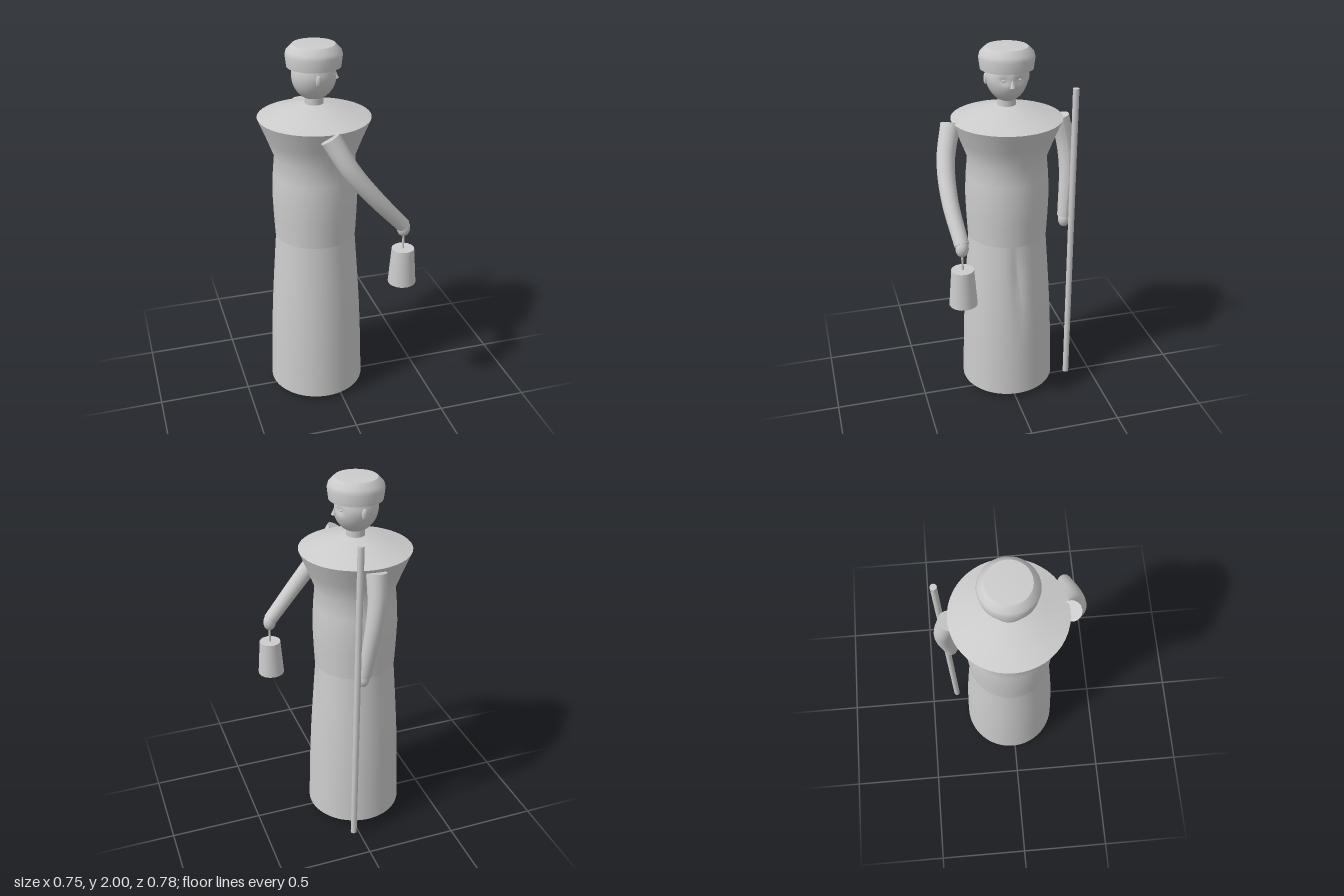
import * as THREE from 'three';
import { toCreasedNormals } from 'three/addons/utils/BufferGeometryUtils.js';

const grey = new THREE.MeshStandardMaterial({ color: 0xcccccc });
const CX = -0.083, CZ = -0.015; // body axis; the face looks along +x

const gauss = (d, w) => Math.exp(-(d * d) / (w * w));

function add(parent, name, geometry, x = 0, y = 0, z = 0) {
  const mesh = new THREE.Mesh(geometry, grey);
  mesh.name = name;
  mesh.position.set(x, y, z);
  parent.add(mesh);
  return mesh;
}

function reshape(geometry, rule) {
  const p = geometry.attributes.position, v = new THREE.Vector3();
  for (let i = 0; i < p.count; i++) {
    rule(v.fromBufferAttribute(p, i), i);
    p.setXYZ(i, v.x, v.y, v.z);
  }
  geometry.computeVertexNormals();
  return geometry;
}

const lathe = (points, segments = 48) =>
  new THREE.LatheGeometry(points.map(([r, y]) => new THREE.Vector2(r, y)), segments);

function ellipsoid(parent, name, [rx, ry, rz], [x, y, z]) {
  const geometry = new THREE.SphereGeometry(1, 24, 16);
  geometry.scale(rx, ry, rz);
  return add(parent, name, geometry, x, y, z);
}

// Tapered sleeve along a curve, closed at the shoulder and the cuff
function sleeve(parent, name, points, r0, r1) {
  const group = new THREE.Group();
  group.name = name;
  parent.add(group);
  const curve = new THREE.CatmullRomCurve3(points.map((p) => new THREE.Vector3(...p)));
  const steps = 20, sides = 20;
  const tube = new THREE.TubeGeometry(curve, steps, 1, sides);
  reshape(tube, (v, i) => {
    const t = Math.floor(i / (sides + 1)) / steps;
    const c = curve.getPointAt(t);
    v.sub(c).multiplyScalar(r0 + (r1 - r0) * t).add(c);
  });
  add(group, name + 'Cloth', tube);
  for (const [t, r, sign] of [[0, r0, -1], [1, r1, 1]]) {
    const c = curve.getPointAt(t);
    const cap = add(group, name + 'Cap', new THREE.CircleGeometry(r, sides), c.x, c.y, c.z);
    cap.lookAt(c.clone().addScaledVector(curve.getTangentAt(t), sign));
  }
}

export function createModel() {
  const model = new THREE.Group();
  model.name = 'robedFigure';

  // Long skirt with a shallow pleat at the front
  const skirt = lathe([[0, 0.03], [0.261, 0.03], [0.257, 0.18], [0.252, 0.34], [0.245, 0.5],
    [0.235, 0.66], [0.225, 0.8], [0.213, 0.965], [0, 0.965]], 64);
  reshape(skirt, (v) => {
    if (v.x > 0 && v.y > 0.04 && v.y < 0.96) v.x -= 0.015 * gauss(v.z, 0.025) * gauss(v.y - 0.78, 0.2);
  });
  add(model, 'skirt', toCreasedNormals(skirt, 0.6), CX, 0, CZ);

  // Upper robe flaring into a wide shoulder cape
  const robe = lathe([[0, 0.96], [0.217, 0.96], [0.223, 1.08], [0.227, 1.2], [0.221, 1.31],
    [0.212, 1.41], [0.25, 1.51], [0.294, 1.618], [0.18, 1.652], [0.06, 1.688], [0, 1.69]]);
  add(model, 'robe', toCreasedNormals(robe, 0.6), CX, 0, CZ);

  add(model, 'neck', new THREE.CylinderGeometry(0.048, 0.048, 0.13, 24), CX, 1.705, CZ);

  // Head with narrowed chin and eye sockets
  const head = new THREE.SphereGeometry(1, 48, 32);
  head.scale(0.115, 0.128, 0.111);
  reshape(head, (v) => {
    const jaw = 1 - 0.1 * Math.max(0, -v.y / 0.128);
    v.z *= jaw;
    if (v.x > 0) v.x -= 0.012 * gauss(v.y - 0.005, 0.018) * gauss(Math.abs(v.z) - 0.04, 0.025);
  });
  add(model, 'head', head, CX, 1.836, CZ);
  const nose = add(model, 'nose', new THREE.ConeGeometry(0.014, 0.05, 12), CX + 0.113, 1.832, CZ);
  nose.rotation.z = 0.15;
  for (const side of [1, -1]) {
    ellipsoid(model, 'ear', [0.016, 0.03, 0.01], [CX - 0.005, 1.832, CZ + side * 0.111]);
    ellipsoid(model, 'eye', [0.007, 0.007, 0.012], [CX + 0.094, 1.841, CZ + side * 0.04]);
    ellipsoid(model, 'foot', [0.125, 0.035, 0.055], [0, 0.035, CZ + side * 0.11]);
  }

  // Flat-topped cap
  const cap = lathe([[0, 1.882], [0.138, 1.882], [0.145, 1.94], [0.139, 1.963], [0.109, 1.993], [0, 2]]);
  add(model, 'cap', toCreasedNormals(cap, 0.55), CX, 0, CZ);

  // Left arm reaches forward with the lantern, right arm hangs by the staff
  sleeve(model, 'leftSleeve',
    [[-0.085, 1.605, 0.285], [0.005, 1.445, 0.332], [0.13, 1.285, 0.343], [0.295, 1.1, 0.32]], 0.052, 0.038);
  ellipsoid(model, 'leftHand', [0.035, 0.047, 0.034], [0.298, 1.085, 0.32]);
  sleeve(model, 'rightSleeve',
    [[-0.083, 1.6, -0.303], [-0.075, 1.45, -0.337], [-0.055, 1.3, -0.345], [-0.02, 1.04, -0.323]], 0.052, 0.036);
  ellipsoid(model, 'rightHand', [0.032, 0.045, 0.032], [-0.015, 1.022, -0.322]);

  // Lantern on a thin hanger
  add(model, 'lanternHanger', new THREE.CylinderGeometry(0.006, 0.006, 0.1, 8), 0.3, 1.01, 0.32);
  add(model, 'lantern', new THREE.CylinderGeometry(0.059, 0.074, 0.2, 16), 0.3, 0.865, 0.32);

  // Slightly leaning staff
  const foot = new THREE.Vector3(0.038, 0.03, -0.346), tip = new THREE.Vector3(0.02, 1.775, -0.355);
  const staff = add(model, 'staff', new THREE.CylinderGeometry(0.017, 0.017, foot.distanceTo(tip), 12));
  staff.position.copy(foot).lerp(tip, 0.5);
  staff.quaternion.setFromUnitVectors(new THREE.Vector3(0, 1, 0), tip.clone().sub(foot).normalize());

  return model;
}
